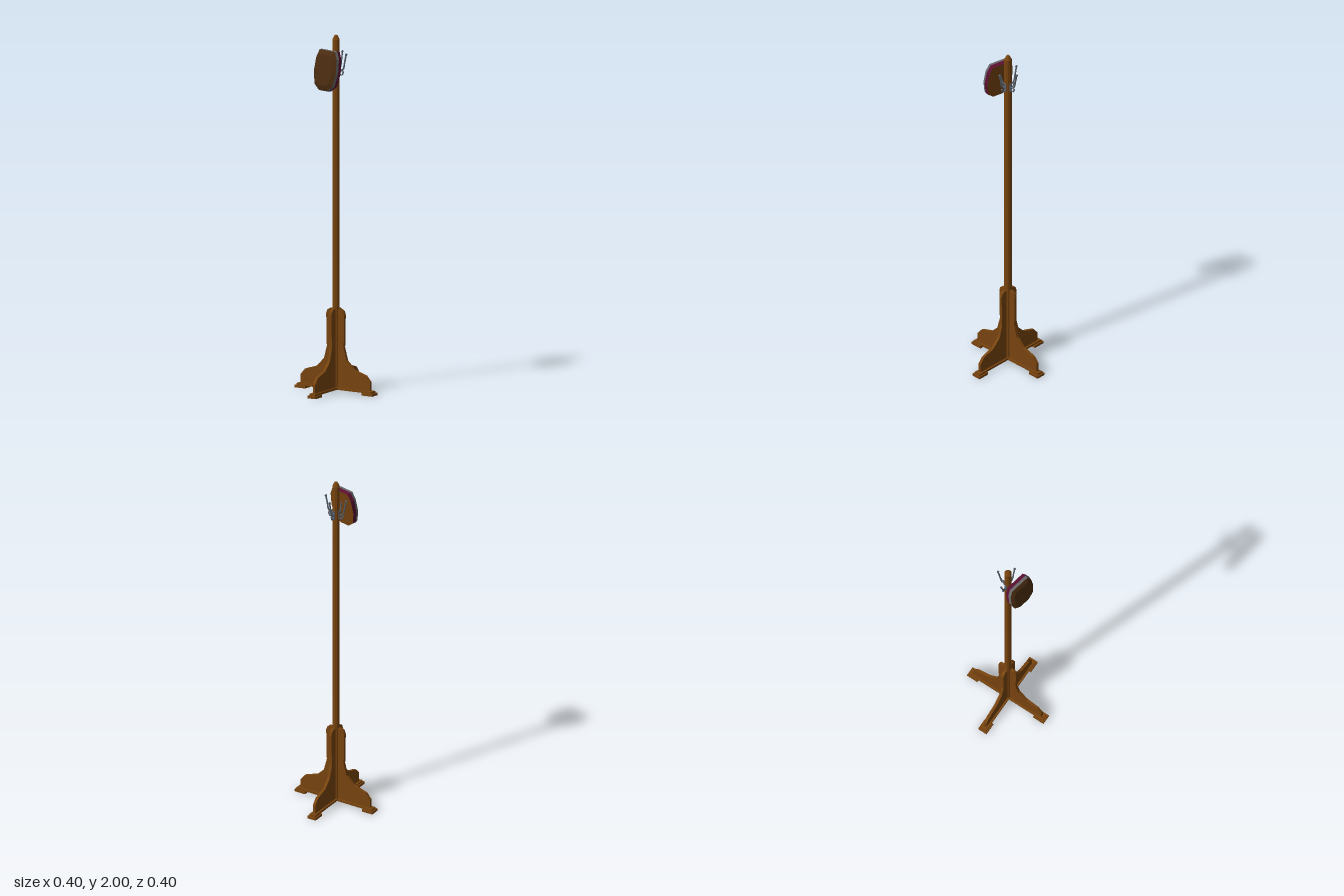
import * as THREE from 'three';

const mat = (name, color, extra = {}) => {
  const m = new THREE.MeshStandardMaterial({ color, flatShading: true, ...extra });
  m.name = name;
  return m;
};

function add(parent, name, geometry, material, x = 0, y = 0, z = 0) {
  const mesh = new THREE.Mesh(geometry, material);
  mesh.name = name;
  mesh.position.set(x, y, z);
  parent.add(mesh);
  return mesh;
}

// Outline of the hanging piece, right half from top to bottom, then mirrored
const half = [[0.06, 0.113], [0.08, 0.07], [0.086, -0.01], [0.07, -0.085], [0.032, -0.115]];
const outline = [...half, ...half.slice().reverse().map(([x, y]) => [-x, y])];

// Side wall between two scaled outlines at depths z0 < z1
function band(z0, s0, z1, s1) {
  const pos = [], n = outline.length;
  for (let i = 0; i < n; i++) {
    const a = outline[i], b = outline[(i + 1) % n];
    const A = [a[0] * s0, a[1] * s0, z0], B = [b[0] * s0, b[1] * s0, z0];
    const C = [b[0] * s1, b[1] * s1, z1], D = [a[0] * s1, a[1] * s1, z1];
    pos.push(...A, ...C, ...B, ...A, ...D, ...C);
  }
  const g = new THREE.BufferGeometry();
  g.setAttribute('position', new THREE.Float32BufferAttribute(pos, 3));
  g.computeVertexNormals();
  return g;
}

const face = (s) => new THREE.ShapeGeometry(
  new THREE.Shape(outline.map(([x, y]) => new THREE.Vector2(x * s, y * s))));

export function createModel() {
  const model = new THREE.Group();
  model.name = 'coatStand';
  const both = { side: THREE.DoubleSide };
  const wood = mat('brown wood', 0x78440f);
  const steel = mat('hook steel', 0x59616b);
  const darkWood = mat('dark leather', 0x4a2c10, both);
  const lining = mat('wine red', 0x5c1032, both);
  const rim = mat('grey rim', 0x686868, both);
  const back = mat('brown back', 0x78440f, both);

  // Pole with a blunt pointed top
  add(model, 'pole', new THREE.CylinderGeometry(0.021, 0.021, 1.955, 12), wood, 0, 0.9975);
  add(model, 'poleTip', new THREE.CylinderGeometry(0.008, 0.021, 0.025, 12), wood, 0, 1.9875);

  // Crossed support boards
  const side = [[0.226, 0.022], [0.226, 0.075], [0.198, 0.108], [0.122, 0.132], [0.074, 0.18],
    [0.055, 0.25], [0.059, 0.435], [0.052, 0.455], [0.038, 0.465]];
  const profile = [...side, ...side.slice().reverse().map(([x, y]) => [-x, y])];
  const board = new THREE.ExtrudeGeometry(
    new THREE.Shape(profile.map(([x, y]) => new THREE.Vector2(x, y))),
    { depth: 0.016, bevelEnabled: false });
  board.translate(0, 0, -0.008);
  for (const a of [1, -1]) {
    add(model, 'supportBoard', board, wood).rotation.y = a * Math.PI / 4;
  }

  // Hook curves: a tall prong and a short lower one
  const curve = (pts) => new THREE.CatmullRomCurve3(pts.map(([x, y]) => new THREE.Vector3(x, y, 0)));
  const tall = new THREE.TubeGeometry(
    curve([[0.018, 1.805], [0.032, 1.8], [0.048, 1.815], [0.056, 1.85], [0.066, 1.895]]), 12, 0.0045, 6);
  const low = new THREE.TubeGeometry(
    curve([[0.018, 1.79], [0.03, 1.779], [0.042, 1.782], [0.047, 1.795]]), 8, 0.004, 6);

  // Four feet and four hooks on the diagonals
  for (let k = 0; k < 4; k++) {
    const arm = new THREE.Group();
    arm.name = 'diagonalArm';
    arm.rotation.y = Math.PI / 4 + k * Math.PI / 2;
    model.add(arm);
    add(arm, 'footBeam', new THREE.BoxGeometry(0.235, 0.012, 0.036), wood, 0.1175, 0.019);
    add(arm, 'footPad', new THREE.BoxGeometry(0.068, 0.014, 0.054), wood, 0.219, 0.007);
    add(arm, 'footPadStep', new THREE.BoxGeometry(0.05, 0.012, 0.038), wood, 0.219, 0.0185);
    add(arm, 'hookPlate', new THREE.BoxGeometry(0.006, 0.05, 0.014), steel, 0.021, 1.8);
    add(arm, 'tallHook', tall, steel);
    add(arm, 'lowHook', low, steel);
    add(arm, 'tallHookTip', new THREE.SphereGeometry(0.007, 8, 6), steel, 0.066, 1.897);
    add(arm, 'lowHookTip', new THREE.SphereGeometry(0.006, 8, 6), steel, 0.047, 1.796);
  }

  // Hanging piece leaning on one hook
  const bag = new THREE.Group();
  bag.name = 'hangingBag';
  bag.rotation.order = 'YXZ';
  bag.rotation.set(-0.17, -0.985, 0);
  bag.position.set(-0.063, 1.815, 0.056);
  model.add(bag);
  add(bag, 'backFace', face(0.97), back, 0, 0, -0.022);
  const panel = add(bag, 'backPanel', face(0.62), back, 0, 0, -0.025);
  panel.rotation.y = Math.PI;
  add(bag, 'innerBand', band(-0.022, 0.97, 0.0, 1), lining);
  add(bag, 'outerBand', band(0.0, 1, 0.016, 0.97), rim);
  add(bag, 'frontBevel', band(0.016, 0.97, 0.027, 0.74), darkWood);
  add(bag, 'frontFace', face(0.74), darkWood, 0, 0, 0.027);
  return model;
}
